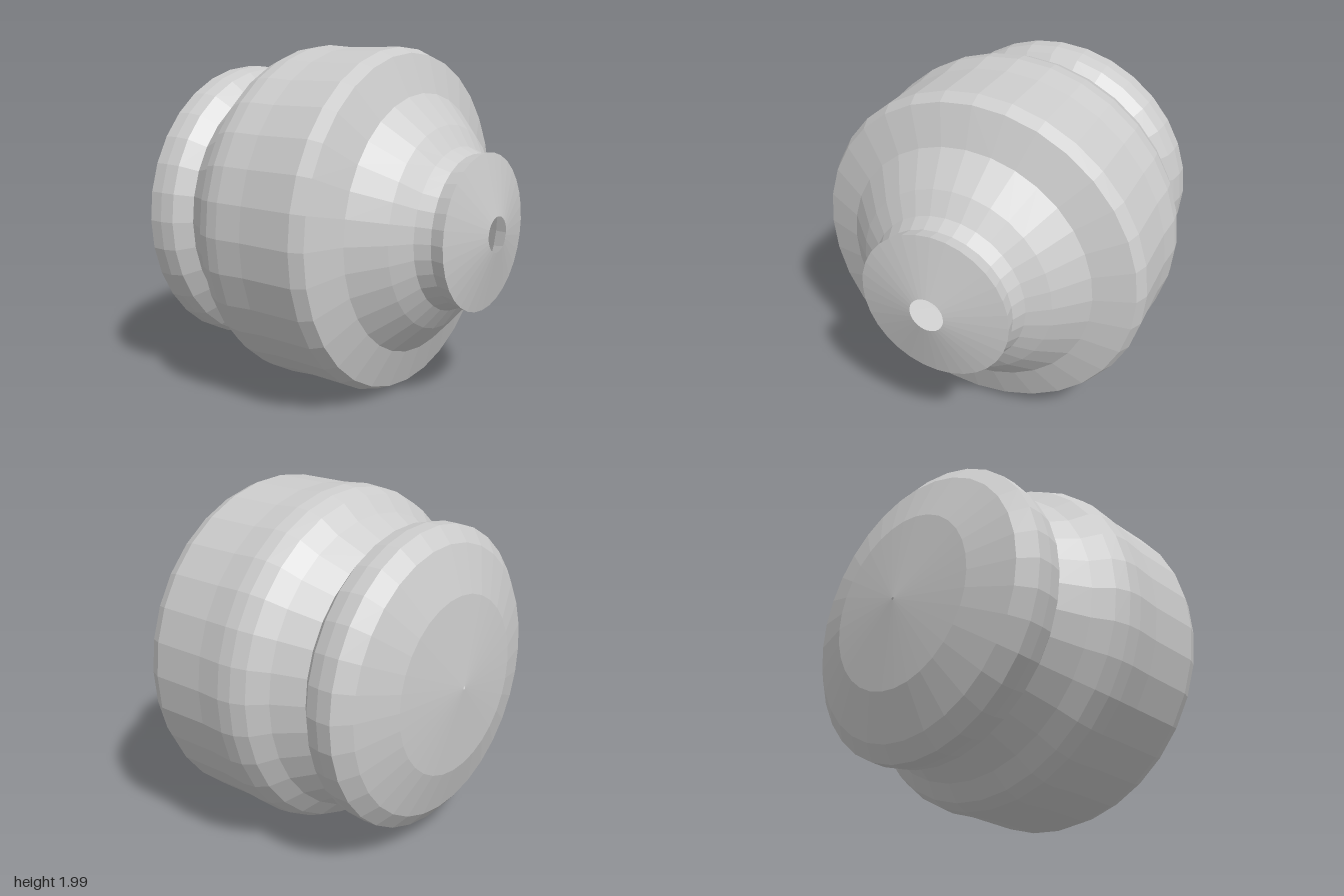
import * as THREE from 'three';

export function createModel() {
  const group = new THREE.Group();
  group.name = 'turnedKnob';

  // Turned profile as [radius, z], from the back cap to the front rim
  const profile = [
    [0.008, -1], [0.505, -0.955], [0.765, -0.87],                // domed back cap
    [0.855, -0.795], [0.858, -0.71], [0.843, -0.63],             // back ring
    [0.76, -0.548],                                              // groove
    [0.86, -0.385], [0.95, -0.3], [0.985, -0.22], [0.995, -0.14], // shoulder
    [0.985, 0.02], [0.992, 0.355], [0.96, 0.432],                // main drum
    [0.74, 0.513], [0.575, 0.675], [0.46, 0.757],                // front taper
    [0.425, 0.84], [0.44, 0.92], [0.1, 1],                       // neck, lip, open tip
  ].map(([r, z]) => new THREE.Vector2(r, z));

  // Open at both ends, so the inside shows through the front hole
  const geometry = new THREE.LatheGeometry(profile, 32);
  geometry.rotateX(Math.PI / 2);
  geometry.translate(0, 1, 0);

  const body = new THREE.Mesh(geometry, new THREE.MeshStandardMaterial({
    color: 0xcccccc, flatShading: true, side: THREE.DoubleSide,
  }));
  body.name = 'body';
  group.add(body);
  return group;
}
